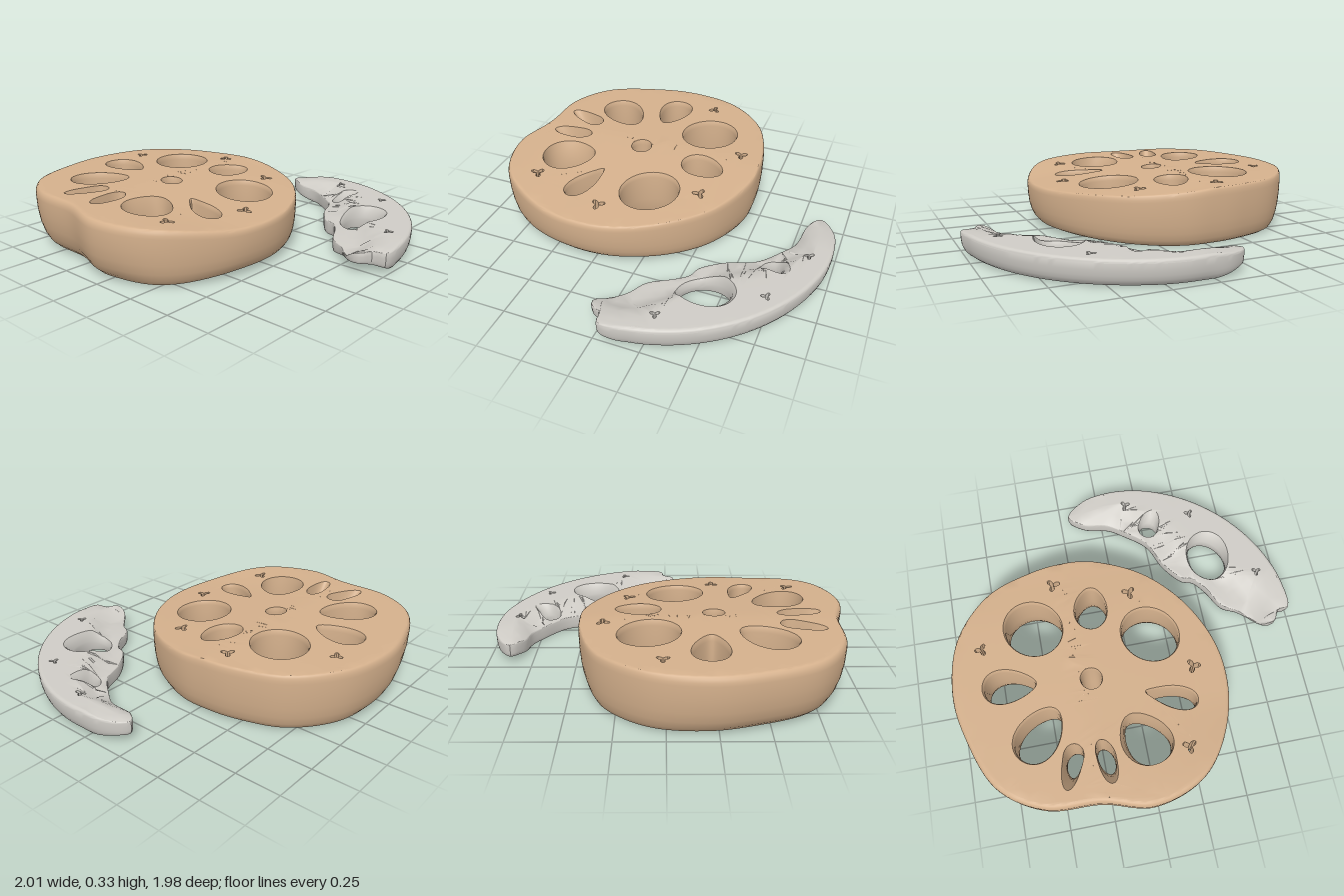
import * as THREE from 'three';
import { toCreasedNormals } from 'three/addons/utils/BufferGeometryUtils.js';

const { smoothstep: smooth, clamp, lerp, degToRad } = THREE.MathUtils;
const vec = (x, z) => new THREE.Vector2(x, z);

// Closed smooth curve through [x, z] pairs, always wound the same way
function loop(pairs, count) {
  const curve = new THREE.CatmullRomCurve3(pairs.map(([x, z]) => new THREE.Vector3(x, 0, z)), true);
  const pts = curve.getSpacedPoints(count).slice(0, count).map(p => vec(p.x, p.z));
  return THREE.ShapeUtils.area(pts) < 0 ? pts.reverse() : pts;
}

// Inset a loop along its own normals
function inset(pts, amount, scaleAt) {
  const n = pts.length;
  return pts.map((p, i) => {
    const t = pts[(i + 2) % n].clone().sub(pts[(i + n - 2) % n]).normalize();
    const d = amount * scaleAt(p.x, p.y);
    return vec(p.x - t.y * d, p.y + t.x * d);
  });
}

// Egg-shaped tunnel, narrower towards the turn direction
function tunnel(x, z, long, wide, turn, taper, options) {
  const pts = Array.from({ length: 40 }, (_, i) => {
    const a = i / 40 * Math.PI * 2;
    return vec(long * Math.cos(a), wide * Math.sin(a) * (1 - taper * Math.cos(a)))
      .rotateAround(vec(0, 0), turn).add(vec(x, z));
  });
  return { centre: vec(x, z), pts, reach: vec(0, 0), depth: 0.1, top: 0.008, bottom: 0.02, slant: 0, ...options };
}

// Small three-lobed pore
function pore(x, z, r, turn, bottom) {
  const pts = Array.from({ length: 24 }, (_, i) => {
    const a = i / 24 * Math.PI * 2, d = r * (0.62 + 0.38 * Math.cos(3 * a + turn));
    return vec(x + d * Math.cos(a), z + d * Math.sin(a));
  });
  return { centre: vec(x, z), pts, reach: vec(0, 0), depth: 0.05, top: 0.001, bottom, slant: 0 };
}

// Widen a hole about its centre, stretching it further along its reach
function widen({ centre, pts, reach }, grow, reachWeight, shift) {
  const axis = reach.clone().normalize();
  return pts.map(p => {
    const d = p.clone().sub(centre);
    const along = Math.max(0, d.clone().normalize().dot(axis));
    return centre.clone().addScaledVector(d, 1 + grow / Math.max(d.length(), 0.03))
      .addScaledVector(reach, along * reachWeight).add(vec(0, shift));
  });
}

// Halve the longest edge until a triangle is small enough to follow a curved face
function refine(tri, limit, out) {
  const lengths = tri.map((p, i) => p.distanceTo(tri[(i + 1) % 3]));
  const i = lengths.indexOf(Math.max(...lengths));
  if (lengths[i] <= limit) return out.push(...tri);
  const [a, b, c] = [tri[i], tri[(i + 1) % 3], tri[(i + 2) % 3]];
  const mid = a.clone().add(b).multiplyScalar(0.5);
  refine([a, mid, c], limit, out);
  return refine([mid, b, c], limit, out);
}

// Slice of root: profiled rim, flared tunnels, refined faces between base and height
function slab(outline, holes, profile, base, height, scaleAt) {
  const pos = [];
  const level = f => (x, z) => lerp(base(x, z), height(x, z), f);
  const wall = rings => {
    const at = ([pts, f], i) => pos.push(pts[i].x, level(f)(pts[i].x, pts[i].y), pts[i].y);
    for (let k = 0; k + 1 < rings.length; k++) {
      const a = rings[k], b = rings[k + 1], n = a[0].length;
      for (let i = 0; i < n; i++) {
        const j = (i + 1) % n;
        at(a, i); at(b, i); at(a, j);
        at(a, j); at(b, i); at(b, j);
      }
    }
  };

  // Rim, from bottom to top
  const rim = profile.map(([d, f]) => [inset(outline, d, scaleAt), f]);
  wall(rim);
  const bottomLoops = [rim[0][0]], topLoops = [rim[rim.length - 1][0]];

  // Tunnels, from top to bottom
  holes.forEach(h => {
    const rings = [
      [widen(h, h.top, 1, 0), 1],
      [widen(h, h.top * 0.3, 0.45, 0), 1 - h.depth * 0.4],
      [widen(h, 0, 0.1, 0), 1 - h.depth],
      [widen(h, 0, 0, h.slant * 0.5), 0.4],
      [widen(h, h.bottom * 0.35, 0, h.slant), 0.15],
      [widen(h, h.bottom, 0, h.slant), 0],
    ];
    wall(rings);
    topLoops.push(rings[0][0]);
    bottomLoops.push(rings[5][0]);
  });

  // Cut faces
  const face = (loops, f, up) => {
    const all = loops.flat(), out = [];
    THREE.ShapeUtils.triangulateShape(loops[0].slice(), loops.slice(1)).forEach(ids => {
      const tri = ids.map(i => all[i]);
      const down = THREE.ShapeUtils.area(tri) > 0;
      refine(down === up ? tri.reverse() : tri, 0.09, out);
    });
    out.forEach(p => pos.push(p.x, level(f)(p.x, p.y), p.y));
  };
  face(topLoops, 1, true);
  face(bottomLoops, 0, false);

  const geo = new THREE.BufferGeometry();
  geo.setAttribute('position', new THREE.Float32BufferAttribute(pos, 3));
  return toCreasedNormals(geo, 0.65);
}

// Rind profile as [inset, height fraction]: curved under below, rounded over on top
function rindProfile(under, over) {
  const rings = [];
  for (let i = 0; i <= 6; i++) rings.push([under * (1 - i / 6) ** 2, 0.86 * (i / 6) ** 1.8]);
  for (let i = 1; i <= 4; i++) {
    const a = i / 4 * Math.PI / 2;
    rings.push([over * (1 - Math.cos(a)), 0.86 + 0.14 * Math.sin(a)]);
  }
  return rings;
}

// Thick whole slice
function wholeSlice() {
  const outline = loop([
    [-1, 0.2], [-0.94, -0.1], [-0.74, -0.34], [-0.48, -0.44], [-0.3, -0.465], [-0.12, -0.455], [0.16, -0.33],
    [0.38, -0.09], [0.5, 0.22], [0.47, 0.56], [0.27, 0.88], [-0.03, 0.99], [-0.3, 0.925], [-0.6, 0.9],
    [-0.83, 0.75], [-0.96, 0.45]], 140);
  const holes = [
    tunnel(-0.51, -0.085, 0.165, 0.15, 0.8, 0),
    tunnel(-0.172, -0.152, 0.12, 0.086, 1.75, -0.15),
    tunnel(0.13, 0.055, 0.165, 0.15, 0.8, 0),
    tunnel(0.175, 0.432, 0.14, 0.055, 3.5, 0.5),
    tunnel(-0.005, 0.63, 0.147, 0.108, -2.1, 0.25, { reach: vec(-0.03, 0.01), depth: 0.4 }),
    tunnel(-0.565, 0.515, 0.157, 0.11, -0.85, 0.2),
    tunnel(-0.685, 0.22, 0.14, 0.086, 0.08, 0.35),
    // pinched pair with grooves running to the front
    tunnel(-0.41, 0.675, 0.072, 0.046, 1.9, 0.2, { reach: vec(-0.03, 0.08), depth: 0.45, bottom: 0.012 }),
    tunnel(-0.237, 0.685, 0.078, 0.042, 1.35, 0, { reach: vec(0, 0.07), depth: 0.45, bottom: 0.012 }),
    // centre bore
    tunnel(-0.24, 0.26, 0.056, 0.056, 0, 0, { top: 0.005, bottom: -0.005, slant: 0.03 }),
    pore(-0.36, -0.33, 0.04, 0.5, 0.01),
    pore(0.06, -0.215, 0.04, 2, 0.01),
    pore(0.33, 0.28, 0.042, 0, 0.01),
    pore(0.21, 0.72, 0.04, 1.6, 0.01),
    pore(-0.81, -0.015, 0.036, 3, 0.01),
  ];
  // the slice thins towards its left side
  const base = (x, z) => 0.004 + 0.025 * smooth(x, -0.1, 0.45) * (1 - smooth(z, 0.4, 0.85));
  const height = (x, z) => 0.335 - 0.07 * clamp((x + 0.3) / 0.8, 0, 1) * (1 - 0.6 * smooth(z, 0.45, 0.95))
    - 0.01 * smooth(-z, 0.1, 0.45);
  const rind = (x, z) => (0.55 + 0.65 * smooth(z, -0.45, 0.5)) * (1 - 0.4 * smooth(x, 0, 0.4));
  return slab(outline, holes, rindProfile(0.1, 0.022), base, height, rind);
}

// Thin broken slice
function brokenSlice() {
  const middle = vec(0.14, -0.13);
  // slightly flattened outer arc, then the ragged inner edge
  const arc = Array.from({ length: 11 }, (_, i) => {
    const a = degToRad(-106 + i * 11.3);
    const r = 0.863 + 0.042 * Math.min(0, Math.sin(2 * a));
    return [middle.x + r * Math.cos(a), middle.y + r * Math.sin(a)];
  });
  const outline = loop([
    [-0.2, -0.87], ...arc, [0.93, -0.01], [0.895, 0.05], [0.83, 0.055], [0.7, -0.07], [0.617, -0.12],
    [0.54, -0.25], [0.48, -0.32], [0.42, -0.34], [0.32, -0.46], [0.25, -0.615], [0.125, -0.72],
    [0.03, -0.78], [-0.12, -0.805]], 140);
  const holes = [
    tunnel(0.592, -0.435, 0.135, 0.103, 1.15, 0, { top: 0.012, bottom: 0.008, reach: vec(0.02, -0.03), depth: 0.5 }),
    tunnel(0.28, -0.707, 0.056, 0.045, 0.7, 0, { top: 0.008, bottom: 0.004, reach: vec(0.03, -0.05), depth: 0.5 }),
    pore(0.165, -0.875, 0.03, 0.4, 0),
    pore(0.545, -0.742, 0.028, 2, 0),
    pore(0.86, -0.275, 0.028, 1, 0),
  ];
  // both tips lift and thin out, the top slopes down to the broken edge
  const base = (x, z) => 0.006 + 0.055 * smooth(z, -0.15, 0.05) + 0.035 * (1 - smooth(x, -0.2, 0.02));
  const height = (x, z) => {
    const p = vec(x, z).sub(middle);
    const edge = 0.64 + 0.24 * Math.min(0, Math.sin(2 * p.angle()));
    return 0.085 + 0.055 * smooth(p.length() - edge, 0, 0.13)
      - 0.02 * smooth(z, -0.25, 0.05) - 0.025 * (1 - smooth(x, -0.2, 0.05));
  };
  // the broken inner edge stays upright, the rind curves under
  const rind = (x, z) => 0.15 + 0.85 * smooth(vec(x, z).distanceTo(middle), 0.72, 0.84)
    * smooth(x, -0.2, 0.1) * (1 - smooth(z, -0.2, 0.03));
  return slab(outline, holes, rindProfile(0.05, 0.02), base, height, rind);
}

export function createModel() {
  const tan = new THREE.MeshStandardMaterial({ color: 0xd4b08c });
  tan.name = 'tan root';
  const pale = new THREE.MeshStandardMaterial({ color: 0xcfccc6 });
  pale.name = 'pale root';

  const whole = new THREE.Mesh(wholeSlice(), tan);
  whole.name = 'wholeSlice';
  const broken = new THREE.Mesh(brokenSlice(), pale);
  broken.name = 'brokenSlice';
  return new THREE.Group().add(whole, broken);
}
